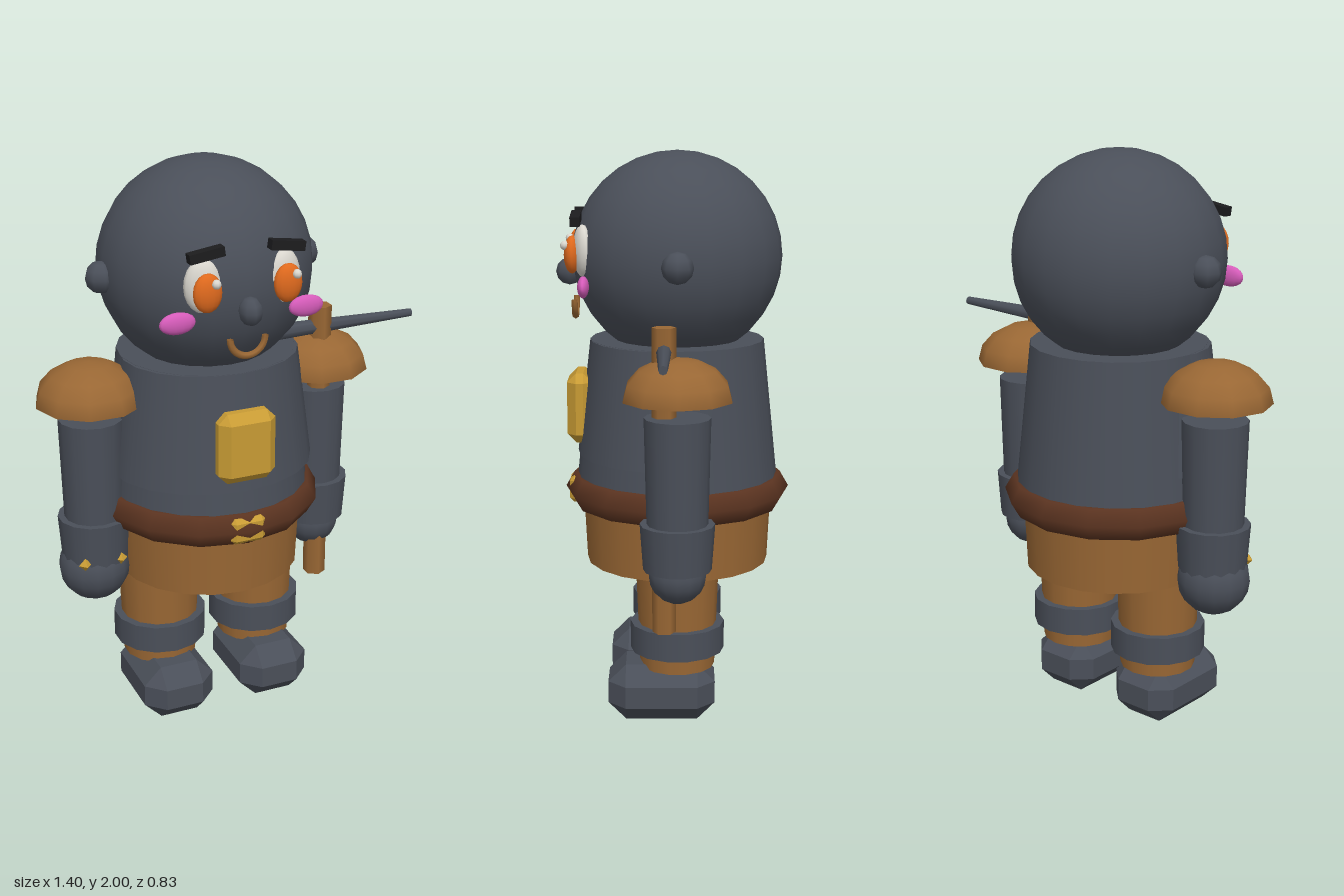
import * as THREE from 'three';
import { ConvexGeometry } from 'three/addons/geometries/ConvexGeometry.js';

const paint = (name, color, extra = {}) => {
  const m = new THREE.MeshStandardMaterial({ color, ...extra });
  m.name = name;
  return m;
};

// Box with every edge and corner cut off
function chamferBox(hx, hy, hz, c) {
  const pts = [];
  for (const x of [-1, 1]) for (const y of [-1, 1]) for (const z of [-1, 1]) {
    pts.push(new THREE.Vector3(x * hx, y * (hy - c), z * (hz - c)));
    pts.push(new THREE.Vector3(x * (hx - c), y * hy, z * (hz - c)));
    pts.push(new THREE.Vector3(x * (hx - c), y * (hy - c), z * hz));
  }
  return new ConvexGeometry(pts);
}

export function createModel() {
  const model = new THREE.Group();
  model.name = 'figure';
  // The body stands off-centre because the weapon reaches out to one side
  const body = new THREE.Group();
  body.name = 'body';
  body.position.set(-0.09, 0, -0.015);
  model.add(body);

  const steel = paint('steel grey', 0x4a4f59);
  const leather = paint('leather brown', 0x996734, { side: THREE.DoubleSide });
  const darkLeather = paint('dark leather', 0x5a3320);
  const gold = paint('gold', 0xc89b34);
  const white = paint('eye white', 0xdad7cf);
  const orange = paint('iris orange', 0xe06a1e);
  const pink = paint('cheek pink', 0xd65cba);
  const black = paint('brow black', 0x1c1c1e);

  const add = (name, geometry, material, x, y, z) => {
    const mesh = new THREE.Mesh(geometry, material);
    mesh.name = name;
    mesh.position.set(x, y, z);
    body.add(mesh);
    return mesh;
  };
  const tube = (name, material, x, z, yTop, yBottom, rTop, rBottom, sides = 14) =>
    add(name, new THREE.CylinderGeometry(rTop, rBottom, yTop - yBottom, sides),
      material, x, (yTop + yBottom) / 2, z);
  const ball = (name, material, x, y, z, rx, ry = rx, rz = rx, w = 14, h = 10) => {
    const mesh = add(name, new THREE.SphereGeometry(1, w, h), material, x, y, z);
    mesh.scale.set(rx, ry, rz);
    return mesh;
  };

  // Trunk
  tube('torso', steel, 0, 0, 1.342, 0.79, 0.308, 0.365, 20);
  tube('breastplate', steel, 0, 0.035, 1.341, 0.935, 0.312, 0.366, 20).scale.z = 0.88;
  tube('hips', leather, 0, 0, 0.79, 0.535, 0.34, 0.328, 20);
  const belt = add('belt', new THREE.TorusGeometry(0.34, 0.063, 6, 14), darkLeather, 0, 0.8, 0);
  belt.rotation.set(Math.PI / 2, 0, Math.PI / 2);
  add('buckle', chamferBox(0.063, 0.047, 0.03, 0.015), gold, 0, 0.797, 0.357);
  add('chestGem', chamferBox(0.103, 0.125, 0.045, 0.032), gold, 0, 1.1, 0.346);

  // Head and face
  ball('head', steel, 0, 1.635, 0, 0.368, 0.366, 0.37, 20, 16);
  ball('nose', steel, 0, 1.58, 0.38, 0.04, 0.048, 0.048, 8, 6);
  const mouth = add('mouth', new THREE.TorusGeometry(0.062, 0.012, 6, 14, Math.PI),
    leather, 0, 1.485, 0.36);
  mouth.rotation.z = Math.PI;

  for (const s of [-1, 1]) {
    ball('ear', steel, s * 0.37, 1.63, 0, 0.055, 0.055, 0.055, 8, 6);
    ball('eyeWhite', white, s * 0.142, 1.665, 0.325, 0.062, 0.09, 0.033).rotation.y = s * 0.25;
    ball('iris', orange, s * 0.14, 1.652, 0.362, 0.05, 0.065, 0.028);
    ball('eyeGlint', white, s * 0.14 + 0.021, 1.685, 0.385, 0.016, 0.016, 0.016, 8, 6);
    ball('cheek', pink, s * 0.227, 1.55, 0.32, 0.063, 0.037, 0.02);
    const brow = add('brow', new THREE.BoxGeometry(0.12, 0.032, 0.034), black, s * 0.14, 1.775, 0.348);
    brow.rotation.z = -s * 0.14;

    // Shoulder pad, an open dome
    const pad = add('shoulderPad',
      new THREE.SphereGeometry(0.19, 10, 4, 0, Math.PI * 2, 0, Math.PI / 2),
      leather, s * 0.424, 1.2, 0);
    pad.scale.y = 0.75;

    // Arm
    tube('arm', steel, s * 0.424, 0, 1.14, 0.75, 0.113, 0.104);
    tube('wristCuff', steel, s * 0.424, 0, 0.775, 0.615, 0.128, 0.117);

    // Leg and foot
    tube('leg', leather, s * 0.187, 0, 0.56, 0.19, 0.147, 0.133);
    tube('ankleCuff', steel, s * 0.187, 0, 0.35, 0.25, 0.167, 0.167);
    add('foot', chamferBox(0.132, 0.1025, 0.19, 0.063), steel, s * 0.187, 0.1025, 0.056);
  }

  // Hands: a plain one, and a larger fist with studs
  ball('leftHand', steel, 0.424, 0.594, 0, 0.099);
  ball('rightFist', steel, -0.43, 0.577, 0, 0.126);
  for (const dx of [-0.065, 0.065])
    add('knuckleStud', new THREE.OctahedronGeometry(0.024), gold, -0.43 + dx, 0.633, 0.1);

  // Weapon: upright handle with a tapered spike across its head
  tube('weaponHandle', leather, 0.42, 0.045, 1.442, 0.39, 0.041, 0.041, 6);
  const spike = add('weaponSpike', new THREE.CylinderGeometry(0.015, 0.034, 0.62, 8),
    steel, 0.475, 1.364, 0.045);
  spike.rotation.z = -Math.PI / 2;

  return model;
}
